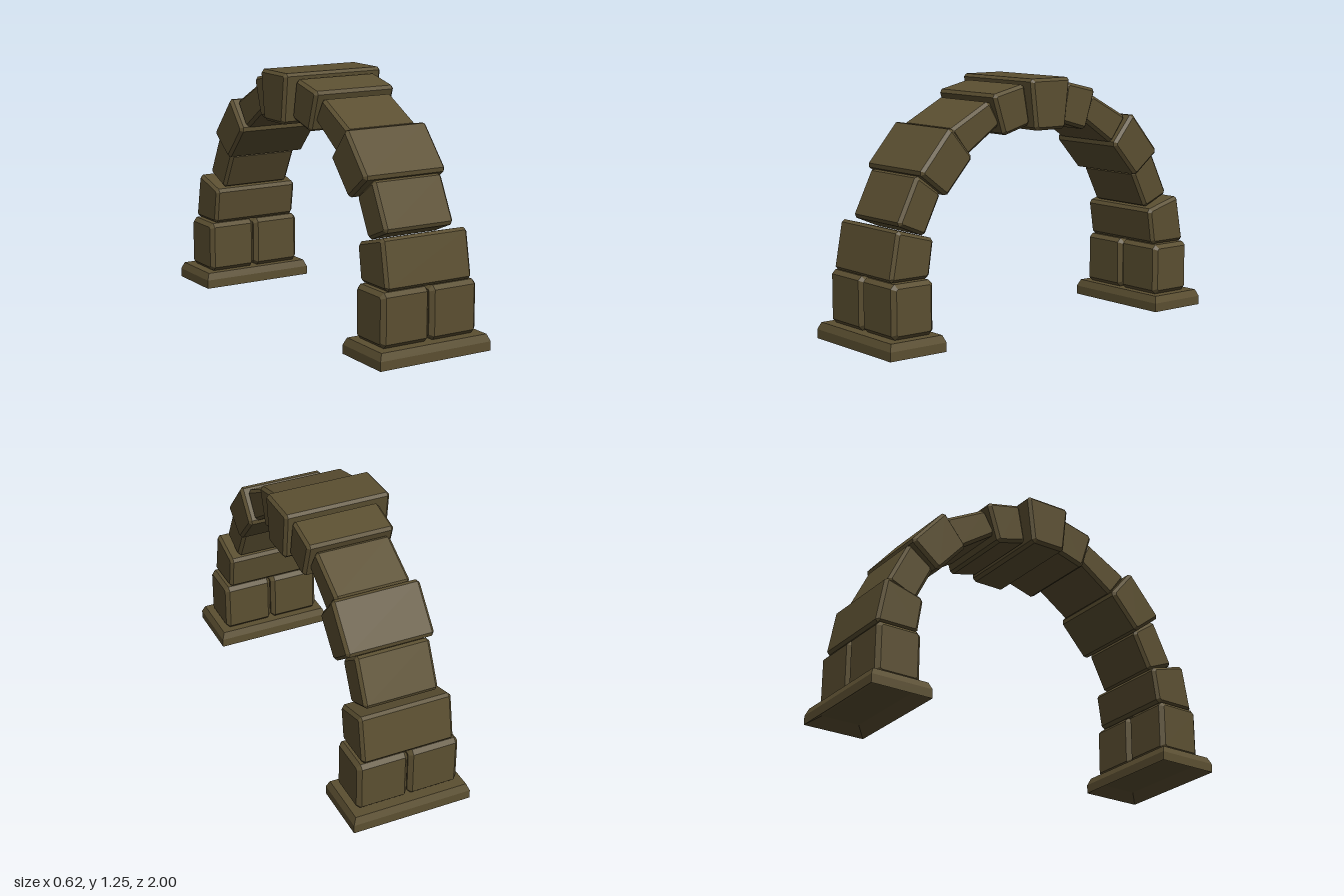
import * as THREE from 'three';

const stone = new THREE.MeshStandardMaterial({ color: 0x5b4f31 });
stone.name = 'brown stone';

// Chamfered block: side outline given as [z, y] corners, spanning x0..x1
function block(name, corners, x0, x1, c = 0.015) {
  const pts = [];
  corners.forEach((p, i) => {
    const cur = new THREE.Vector2(...p);
    for (const step of [corners.length - 1, 1]) {
      const other = new THREE.Vector2(...corners[(i + step) % corners.length]);
      pts.push(cur.clone().add(other.sub(cur).setLength(c)));
    }
  });
  const geo = new THREE.ExtrudeGeometry(new THREE.Shape(pts), {
    depth: x1 - x0 - 2 * c, bevelEnabled: true, bevelSegments: 1,
    bevelSize: c, bevelOffset: -c, bevelThickness: c,
  });
  geo.rotateY(-Math.PI / 2);
  geo.translate(x1 - c, 0, 0);
  const mesh = new THREE.Mesh(geo, stone);
  mesh.name = name;
  return mesh;
}

// Plinth lofted through rectangular rings, with a sloped recess underneath
function plinth() {
  const rings = [[0, 0, 0.04], [0.25, 0.1, 0.04], [0.31, 0.16, 0],
    [0.31, 0.16, 0.045], [0.295, 0.145, 0.08], [0, 0, 0.08]];
  const pos = [], idx = [];
  for (const [w, d, y] of rings) pos.push(w, y, d, w, y, -d, -w, y, -d, -w, y, d);
  for (let r = 0; r < rings.length - 1; r++) {
    for (let i = 0; i < 4; i++) {
      const a = r * 4 + i, b = r * 4 + (i + 1) % 4;
      if (r < rings.length - 2) idx.push(a, b, b + 4);
      if (r > 0) idx.push(a, b + 4, a + 4);
    }
  }
  // Close the two flat caps
  const n = rings.length - 1;
  for (let i = 0; i < 4; i++) {
    const j = (i + 1) % 4;
    idx.push(i, 4 + j, 4 + i);
    idx.push((n - 1) * 4 + i, (n - 1) * 4 + j, n * 4);
  }
  let geo = new THREE.BufferGeometry();
  geo.setAttribute('position', new THREE.Float32BufferAttribute(pos, 3));
  geo.setIndex(idx);
  geo = geo.toNonIndexed();
  geo.computeVertexNormals();
  const mesh = new THREE.Mesh(geo, stone);
  mesh.name = 'plinth';
  mesh.position.z = 0.84;
  return mesh;
}

// One half of the arch, from plinth up to the keystone
function halfArch(name) {
  const g = new THREE.Group();
  g.name = name;
  g.add(plinth());

  // Pair of foot stones standing side by side
  const foot = [[0.95, 0.08], [0.95, 0.342], [0.715, 0.342], [0.715, 0.08]];
  g.add(block('footStoneRight', foot, -0.267, -0.002, 0.02));
  g.add(block('footStoneLeft', foot, 0.002, 0.265, 0.02));

  // Wedge stones following the curve
  const wedges = [
    [[[0.945, 0.345], [0.9, 0.588], [0.692, 0.53], [0.72, 0.345]], -0.242, 0.238],
    [[[0.865, 0.6], [0.752, 0.828], [0.613, 0.73], [0.71, 0.535]], -0.195, 0.19],
    [[[0.757, 0.835], [0.575, 1.045], [0.445, 0.89], [0.602, 0.715]], -0.235, 0.22],
    [[[0.558, 1.025], [0.32, 1.152], [0.252, 1.035], [0.46, 0.893]], -0.203, 0.187],
    [[[0.32, 1.18], [0.128, 1.225], [0.09, 1.025], [0.255, 0.978]], -0.235, 0.217],
  ];
  wedges.forEach(([outline, x0, x1], i) => g.add(block('wedgeStone' + (i + 1), outline, x0, x1)));
  return g;
}

export function createModel() {
  const arch = new THREE.Group();
  arch.name = 'stoneArch';
  const back = halfArch('backHalf');
  back.rotation.y = Math.PI;
  arch.add(halfArch('frontHalf'), back);
  // Keystone at the crown
  arch.add(block('keystone', [[0.125, 1.25], [-0.125, 1.25], [-0.095, 0.997], [0.095, 0.997]], -0.29, 0.265));
  return arch;
}
